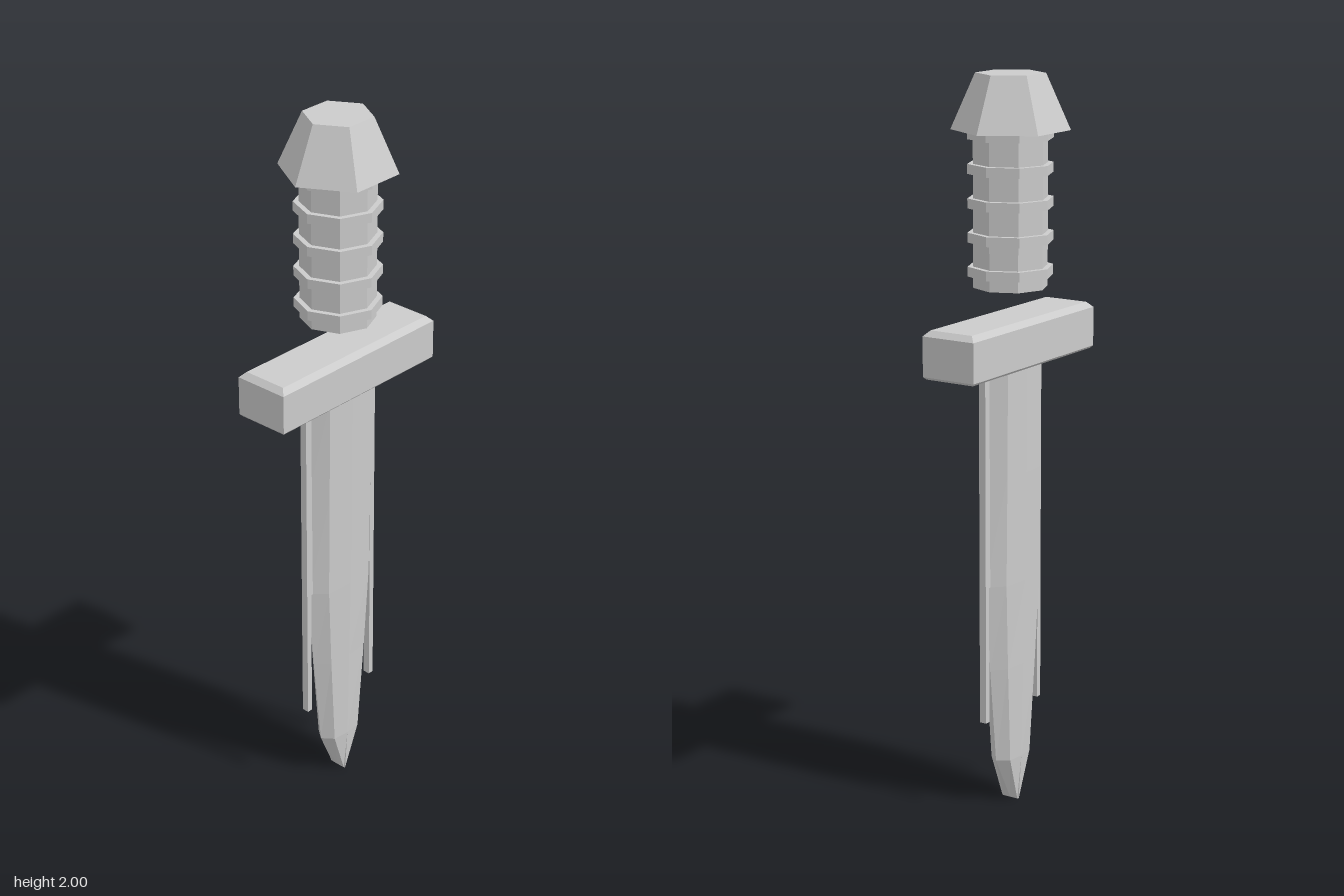
import * as THREE from 'three';

const material = new THREE.MeshStandardMaterial({ color: 0xcccccc, flatShading: true, side: THREE.DoubleSide });

// Stack scaled copies of an [x, z] outline; rings are [y, scaleX, scaleZ] from bottom to top.
function loft(outline, rings) {
  const n = outline.length, pos = [], idx = [];
  for (const [y, sx, sz] of rings) for (const [x, z] of outline) pos.push(x * sx, y, z * sz);
  for (let r = 0; r < rings.length - 1; r++) {
    for (let i = 0; i < n; i++) {
      const j = (i + 1) % n, a = r * n + i, b = r * n + j;
      idx.push(a, b, b + n, a, b + n, a + n);
    }
  }
  const top = (rings.length - 1) * n;
  for (let i = 1; i < n - 1; i++) {
    idx.push(0, i + 1, i);
    idx.push(top, top + i, top + i + 1);
  }
  const g = new THREE.BufferGeometry();
  g.setAttribute('position', new THREE.Float32BufferAttribute(pos, 3));
  g.setIndex(idx);
  const flat = g.toNonIndexed();
  flat.computeVertexNormals();
  return flat;
}

// Regular polygon with a corner on the x axis
function polygon(sides) {
  return Array.from({ length: sides }, (_, i) => {
    const a = Math.PI / 2 + (i / sides) * Math.PI * 2;
    return [Math.sin(a), Math.cos(a)];
  });
}

export function createModel() {
  const model = new THREE.Group();
  const add = (name, geometry, parent = model) => {
    const mesh = new THREE.Mesh(geometry, material);
    mesh.name = name;
    parent.add(mesh);
    return mesh;
  };

  // Six-sided tapered pommel
  add('pommel', loft(polygon(6), [[1.853, 0.157, 0.157], [2, 0.092, 0.092]]));

  // Eight-sided grip with five raised bands
  const handle = new THREE.Group();
  handle.name = 'handle';
  model.add(handle);
  const octagon = polygon(8);
  add('grip', loft(octagon, [[1.44, 0.1, 0.1], [1.855, 0.1, 0.1]]), handle);
  for (let i = 0; i < 5; i++) {
    const y = 1.484 + i * 0.09;
    add('gripBand', loft(octagon, [[y - 0.013, 0.115, 0.115], [y + 0.013, 0.115, 0.115]]), handle);
  }

  // Crossguard, floating below the grip, with bevelled top and bottom rims
  const square = [[-1, 1], [1, 1], [1, -1], [-1, -1]];
  add('crossguard', loft(square, [
    [1.233, 0.283, 0.072], [1.24, 0.29, 0.079], [1.347, 0.29, 0.079], [1.362, 0.275, 0.064],
  ]));

  // Flattened eight-sided blade narrowing to a chisel tip
  const bladeOutline = [[0, 1], [0.67, 0.86], [1, 0], [0.67, -0.86], [0, -1], [-0.67, -0.86], [-1, 0], [-0.67, 0.86]];
  add('blade', loft(bladeOutline, [
    [0, 0.002, 0.027], [0.13, 0.072, 0.036], [0.4, 0.1, 0.042],
    [0.64, 0.12, 0.047], [0.94, 0.121, 0.051], [1.24, 0.121, 0.053],
  ]));

  // Slim side prongs, and the upper web joining them to the blade
  for (const s of [-1, 1]) {
    const prong = add('sideProng', new THREE.BoxGeometry(0.016, 0.98, 0.02));
    prong.position.set(s * 0.127, 0.75, 0);
    const web = add('prongWeb', new THREE.BoxGeometry(0.025, 0.6, 0.018));
    web.position.set(s * 0.115, 0.94, 0);
  }
  return model;
}
